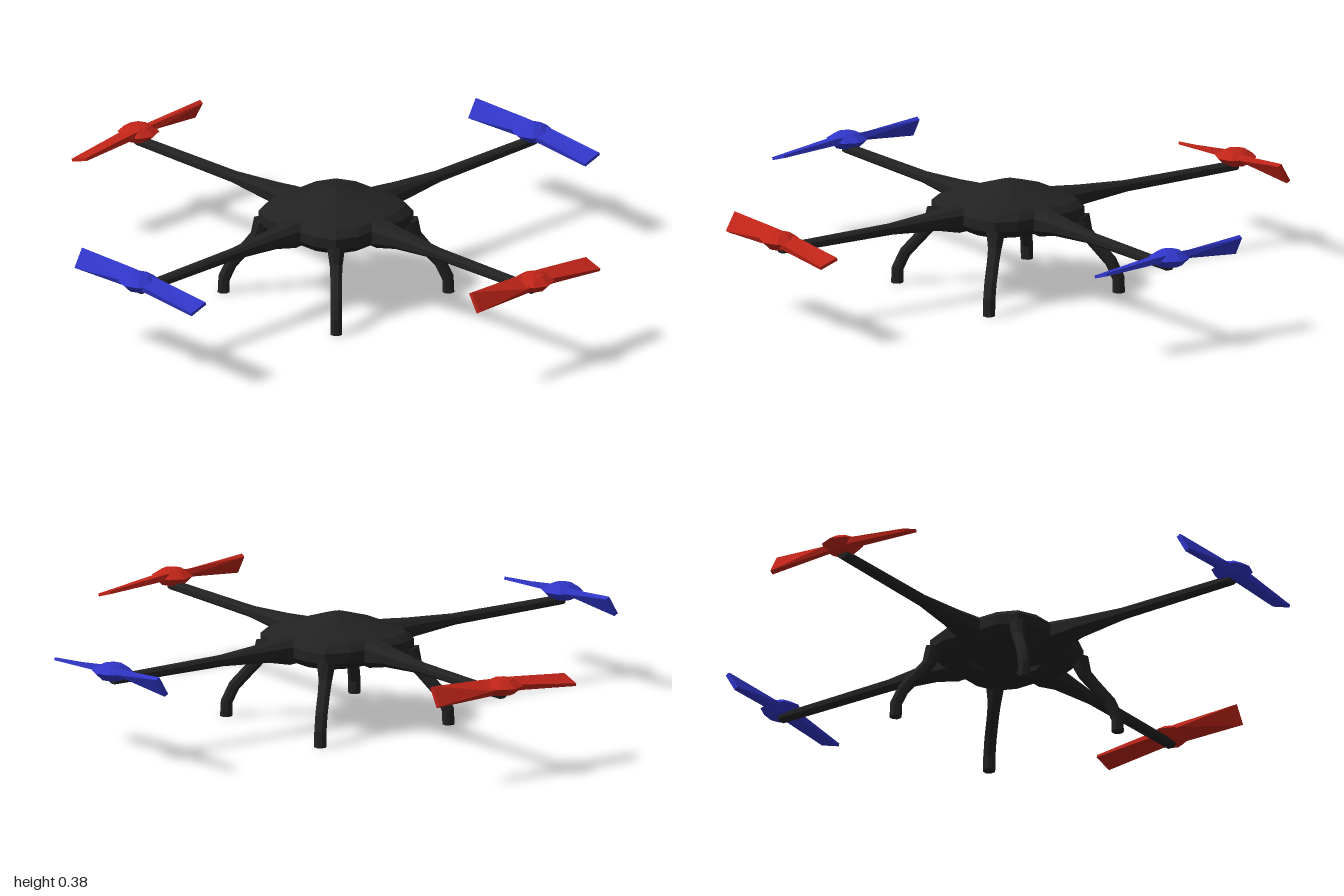
import * as THREE from 'three';

const paint = (color) => new THREE.MeshStandardMaterial({ color, flatShading: true, roughness: 0.8 });

// Skin a list of equal-length point rings, closing both ends with fans.
function loft(rings) {
  const n = rings[0].length;
  const pos = [];
  const index = [];
  rings.forEach((ring) => ring.forEach((p) => pos.push(p.x, p.y, p.z)));
  for (let r = 0; r < rings.length - 1; r++) {
    for (let i = 0; i < n; i++) {
      const a = r * n + i;
      const b = r * n + ((i + 1) % n);
      index.push(a, b, b + n, a, b + n, a + n);
    }
  }
  const last = (rings.length - 1) * n;
  for (let i = 1; i < n - 1; i++) {
    index.push(0, i + 1, i, last, last + i, last + i + 1);
  }
  const geometry = new THREE.BufferGeometry();
  geometry.setAttribute('position', new THREE.Float32BufferAttribute(pos, 3));
  geometry.setIndex(index);
  geometry.computeVertexNormals();
  return geometry;
}

function add(parent, name, geometry, material) {
  const mesh = new THREE.Mesh(geometry, material);
  mesh.name = name;
  parent.add(mesh);
  return mesh;
}

// Rounded-square hull with a low peaked roof and a slightly hollow underside.
function bodyGeometry() {
  const quarter = [[0.215, 0], [0.215, 0.11], [0.183, 0.183], [0.11, 0.215]];
  const outline = [];
  for (let q = 0; q < 4; q++) {
    for (const [u, v] of quarter) {
      outline.push(new THREE.Vector2(u, v).rotateAround(new THREE.Vector2(), q * Math.PI / 2));
    }
  }
  const levels = [
    [0.001, 0.258], [0.75, 0.25], [0.9, 0.23], [1, 0.255], [1, 0.29],
    [0.9, 0.312], [0.55, 0.338], [0.2, 0.364], [0.001, 0.375],
  ];
  return loft(levels.map(([s, y]) => outline.map((p) => new THREE.Vector3(p.x * s, y, -p.y * s))));
}

// Boom along +x, deep at the root and slim at the end.
function armGeometry() {
  const sections = [ // x, half width, bottom, top
    [0.12, 0.06, 0.235, 0.316], [0.215, 0.046, 0.226, 0.311], [0.3, 0.036, 0.245, 0.303],
    [0.48, 0.02, 0.258, 0.292], [0.93, 0.019, 0.262, 0.29],
  ];
  const corner = [[1, -0.5], [1, 0.5], [0.55, 1], [-0.55, 1], [-1, 0.5], [-1, -0.5], [-0.55, -1], [0.55, -1]];
  return loft(sections.map(([x, w, lo, hi]) => corner.map(([u, v]) =>
    new THREE.Vector3(x, (lo + hi) / 2 + v * (hi - lo) / 2, -u * w))));
}

// Curved leg in the x-y plane; x is measured along the body diagonal.
function legGeometry() {
  const path = [ // distance out, height, radius
    [0.375, 0, 0.021], [0.373, 0.05, 0.021], [0.348, 0.105, 0.021],
    [0.295, 0.165, 0.021], [0.265, 0.2, 0.023], [0.245, 0.255, 0.032],
  ];
  return loft(path.map(([x, y, r], i) => {
    const before = path[Math.max(i - 1, 0)];
    const after = path[Math.min(i + 1, path.length - 1)];
    const lean = i === 0 ? 0 : Math.atan2(after[0] - before[0], after[1] - before[1]);
    return Array.from({ length: 8 }, (_, k) => {
      const a = (k + 0.5) * Math.PI / 4;
      const u = Math.cos(a) * r;
      return new THREE.Vector3(x + u * Math.cos(lean), y - u * Math.sin(lean), -Math.sin(a) * r);
    });
  }));
}

// Twisted two-ended blade along x.
function bladeGeometry() {
  const sections = [ // x, centre height, half chord, tilt in degrees, half thickness
    [-0.28, 0.308, 0.036, 60, 0.008], [-0.06, 0.308, 0.034, 22, 0.01],
    [0.06, 0.306, 0.034, 12, 0.01], [0.28, 0.286, 0.036, 18, 0.005],
  ];
  return loft(sections.map(([x, y, h, degrees, t]) => {
    const a = THREE.MathUtils.degToRad(degrees);
    return [[-1, -1], [1, -1], [1, 1], [-1, 1]].map(([c, n]) => new THREE.Vector3(
      x,
      y + c * h * Math.sin(a) + n * t * Math.cos(a),
      -c * h * Math.cos(a) + n * t * Math.sin(a)));
  }));
}

export function createModel() {
  const model = new THREE.Group();
  model.name = 'quadcopter';
  const dark = paint(0x222222);
  const red = paint(0xc02418);
  const blue = paint(0x3035c8);

  add(model, 'body', bodyGeometry(), dark);

  // Four arms on the axes, four legs on the diagonals
  const arm = armGeometry();
  const leg = legGeometry();
  for (let i = 0; i < 4; i++) {
    add(model, 'arm', arm, dark).rotation.y = i * Math.PI / 2;
    add(model, 'leg', leg, dark).rotation.y = (i + 0.5) * Math.PI / 2;
  }

  // Rotors: faceted hub and twisted blade
  const hub = new THREE.LatheGeometry(
    [[0, 0.278], [0.042, 0.281], [0.07, 0.308], [0.036, 0.33], [0, 0.337]]
      .map(([r, y]) => new THREE.Vector2(r, y)), 8);
  const blade = bladeGeometry();
  const rotors = [ // name, x, z, turn, material
    ['leftRotor', 0.93, 0, Math.PI / 2, red], ['rightRotor', -0.93, 0, -Math.PI / 2, red],
    ['frontRotor', 0, 0.93, 0, blue], ['backRotor', 0, -0.93, 0, blue],
  ];
  for (const [name, x, z, turn, material] of rotors) {
    const rotor = new THREE.Group();
    rotor.name = name;
    rotor.position.set(x, 0, z);
    rotor.rotation.y = turn;
    add(rotor, 'hub', hub, material);
    add(rotor, 'blade', blade, material);
    model.add(rotor);
  }
  return model;
}
